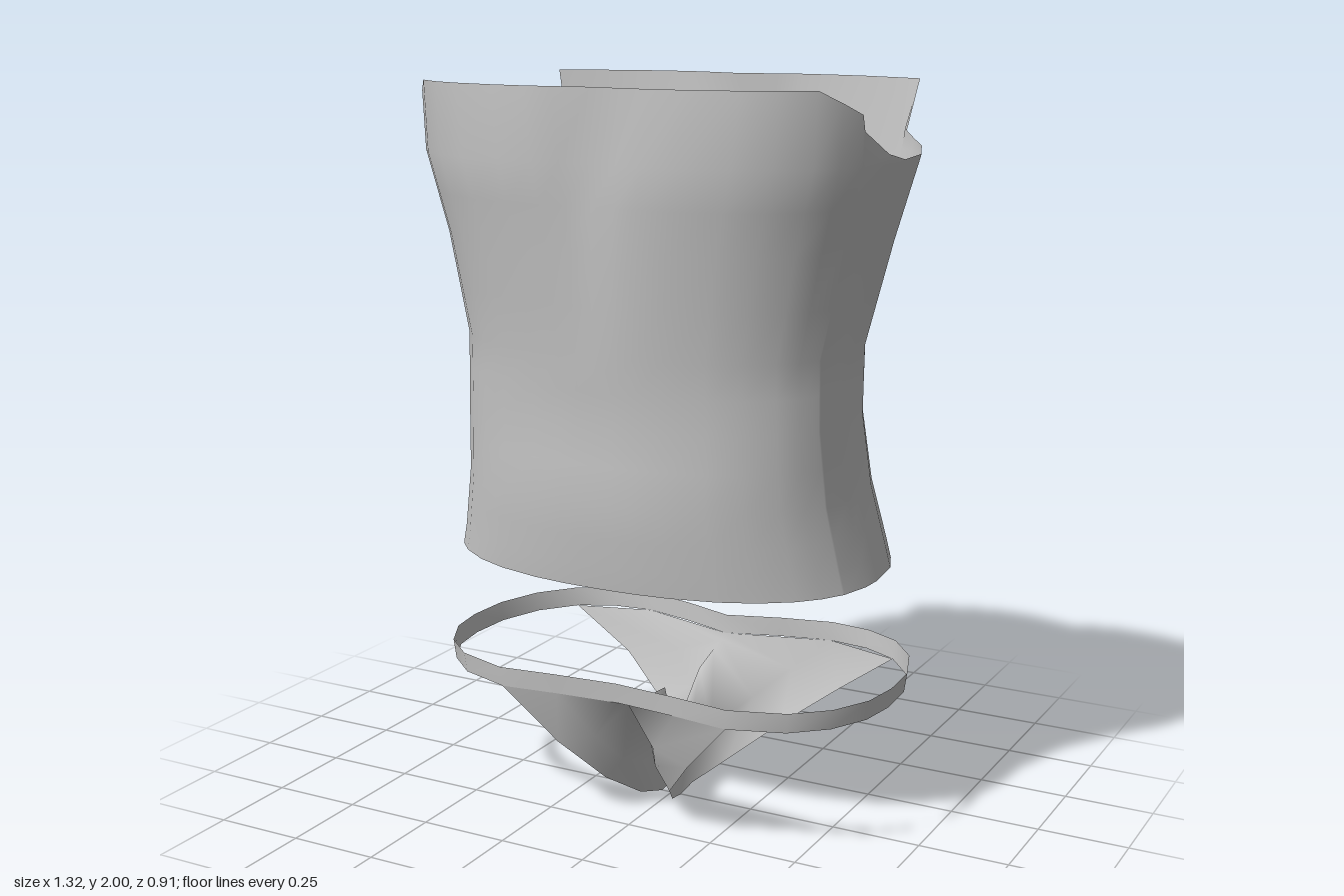
import * as THREE from 'three';

const fabric = new THREE.MeshStandardMaterial({ color: 0xc2c2c2, side: THREE.DoubleSide });
fabric.name = 'grey fabric';

// Skin a grid of equal-length rows of [x, y, z]; closed joins each row's ends
function loft(name, rows, closed) {
  const n = rows[0].length, index = [];
  for (let r = 0; r < rows.length - 1; r++) {
    for (let c = 0; c < (closed ? n : n - 1); c++) {
      const a = r * n + c, b = r * n + (c + 1) % n;
      index.push(a, b, b + n, a, b + n, a + n);
    }
  }
  const g = new THREE.BufferGeometry();
  g.setAttribute('position', new THREE.Float32BufferAttribute(rows.flat(2), 3));
  g.setIndex(index);
  g.computeVertexNormals();
  const mesh = new THREE.Mesh(g, fabric);
  mesh.name = name;
  return mesh;
}

// Half a ring, front centre to back centre, completed on the other side
const mirrorRing = half => [
  ...half,
  ...half.slice(1, -1).reverse().map(([x, y, z]) => [-x, y, z]),
];

// Body sections: y, half width, front z, back depth, middle z, squareness, front dent, back dent
const SECTIONS = [
  [0.72, 0.61, 0.405, 0.468, 0, 2.3, 0, 0.075],
  [0.78, 0.595, 0.412, 0.458, 0, 2.3, 0, 0.065],
  [0.95, 0.562, 0.425, 0.395, 0.02, 2.3, 0, 0.03],
  [1.15, 0.547, 0.412, 0.32, 0.05, 2.4, 0, 0],
  [1.33, 0.543, 0.42, 0.345, 0.04, 2.4, 0, 0],
  [1.6, 0.6, 0.445, 0.4, 0.01, 2.5, 0.02, 0.015],
  [1.82, 0.657, 0.466, 0.43, 0, 2.7, 0.045, 0.03],
  [2.0, 0.655, 0.447, 0.445, 0, 3, 0.025, 0.05],
];

// Columns round the body: angle from the front, height of the top edge
const COLUMNS = [
  [0, 2], [0.06, 2], [0.14, 2], [0.28, 2], [0.5, 2], [0.7, 2], [0.915, 2], [1.08, 1.97],
  [1.235, 1.94], [1.25, 1.9], [1.45, 1.84], [1.57, 1.82], [1.8, 1.822], [2.0, 1.835],
  [2.2, 1.85], [2.32, 1.87], [2.34, 2], [2.5, 2], [2.7, 2], [2.86, 2], [3.0, 2],
  [3.08, 2], [Math.PI, 2],
];

function sectionAt(y) {
  let i = 0;
  while (i < SECTIONS.length - 2 && y > SECTIONS[i + 1][0]) i++;
  const a = SECTIONS[i], b = SECTIONS[i + 1];
  const t = (y - a[0]) / (b[0] - a[0]);
  return a.map((v, k) => v + (b[k] - v) * t);
}

function bodyPoint(angle, y) {
  const [, w, front, back, mid, n, frontDent, backDent] = sectionAt(y);
  const c = Math.cos(angle), s = Math.max(0, Math.sin(angle));
  const x = w * s ** (2 / n);
  const reach = Math.abs(c) ** (2 / n);
  const dent = Math.max(0, 1 - x / 0.2) ** 1.3;
  const z = c > 0
    ? mid + (front - mid) * reach - frontDent * dent
    : mid - (back + mid) * reach + backDent * dent;
  return [x, y, z];
}

function makeTop() {
  const heights = [0.72, 0.78, 0.86, 0.95, 1.05, 1.15, 1.24, 1.33, 1.46, 1.6, 1.71, 1.815];
  const rows = heights.map(y => mirrorRing(COLUMNS.map(([a]) => bodyPoint(a, y))));
  // Uneven upper edge with armholes and pointed back corners
  rows.push(mirrorRing(COLUMNS.map(([a, y]) => {
    const p = bodyPoint(a, y);
    if (a === 2.34) p[0] += 0.03;
    return p;
  })));
  return loft('top', rows, true);
}

// Waistband outline, front centre to back centre: x, z
const BAND = [
  [0, 0.31], [0.18, 0.325], [0.34, 0.345], [0.49, 0.295], [0.58, 0.215], [0.635, 0.11],
  [0.652, 0], [0.645, -0.13], [0.6, -0.26], [0.52, -0.36], [0.42, -0.41], [0.3, -0.425],
  [0.15, -0.39], [0, -0.34],
];

function makeWaistband() {
  const ring = (y, k) => mirrorRing(BAND.map(([x, z]) => [x * k, y, z * k]));
  return loft('waistband', [ring(0.375, 1), ring(0.43, 1.012)], true);
}

// Lower panel, front to back: leg edge, fold, centre crease
const PANEL = [
  [[0.34, 0.375, 0.345], [0.18, 0.375, 0.325], [0, 0.375, 0.31]],
  [[0.2, 0.22, 0.29], [0.09, 0.25, 0.275], [0, 0.35, 0.25]],
  [[0.1, 0.1, 0.2], [0.05, 0.16, 0.19], [0, 0.34, 0.17]],
  [[0.05, 0.025, 0.09], [0.025, 0.12, 0.08], [0, 0.33, 0.04]],
  [[0.03, 0, 0], [0.018, 0.1, 0], [0, 0.22, 0]],
  [[0.03, 0.01, -0.07], [0.018, 0.1, -0.06], [0, 0.21, -0.05]],
  [[0.075, 0.04, -0.2], [0.035, 0.14, -0.18], [0, 0.32, -0.17]],
  [[0.2, 0.14, -0.31], [0.1, 0.2, -0.32], [0, 0.35, -0.26]],
  [[0.35, 0.25, -0.375], [0.19, 0.28, -0.39], [0, 0.365, -0.31]],
  [[0.52, 0.375, -0.36], [0.3, 0.375, -0.425], [0, 0.375, -0.34]],
];

function makePanel() {
  const rows = PANEL.map(half => [
    ...half,
    ...half.slice(0, -1).reverse().map(([x, y, z]) => [-x, y, z]),
  ]);
  return loft('lowerPanel', rows, false);
}

export function createModel() {
  const model = new THREE.Group();
  model.name = 'garments';
  const briefs = new THREE.Group();
  briefs.name = 'briefs';
  briefs.add(makeWaistband(), makePanel());
  model.add(makeTop(), briefs);
  return model;
}
